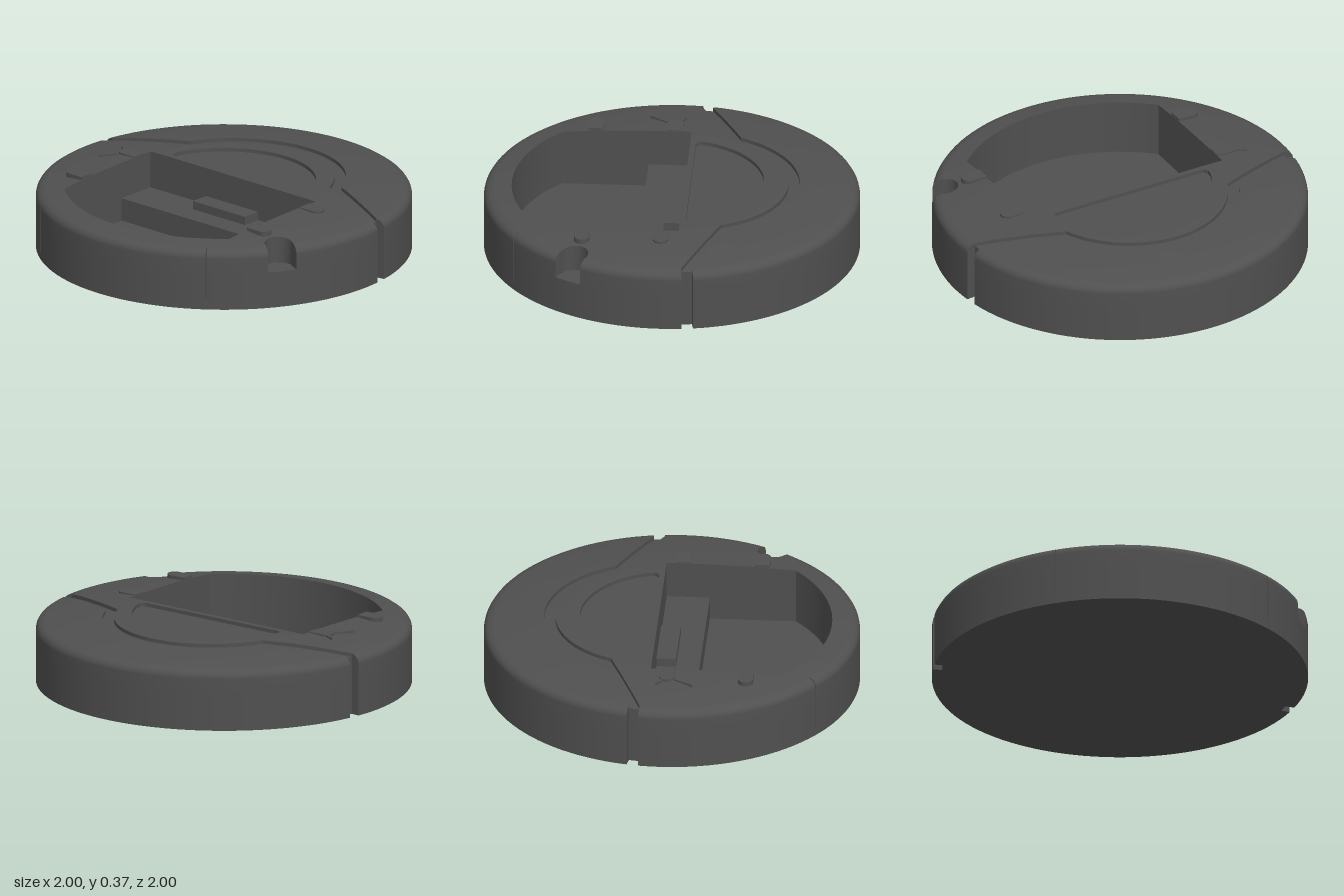
import * as THREE from 'three';
import { mergeGeometries, mergeVertices, toCreasedNormals } from 'three/addons/utils/BufferGeometryUtils.js';

const MAX = 0.06, R = 0.95, FLOOR = 0.04, SHALLOW = 0.02, PI = Math.PI;
const DOME = [[0, 0.37], [0.55, 0.37], [0.7, 0.362], [0.85, 0.347], [R, 0.333]];
const RIM = [[1, 0.285], [0.997, 0.301], [0.988, 0.316], [0.972, 0.327], [R, 0.333]];

// Height of the gently domed top, or of the rounded rim
function height(x, z) {
  const r = Math.min(Math.hypot(x, z), 1);
  const table = r <= R ? DOME : [...RIM].reverse();
  for (let i = 1; i < table.length; i++) {
    const [r0, y0] = table[i - 1], [r1, y1] = table[i];
    if (r <= r1) return y0 + (y1 - y0) * (r - r0) / (r1 - r0);
  }
  return table[table.length - 1][1];
}
const sunk = (x, z) => height(x, z) - SHALLOW;
const flat = y => () => y;

// Plan points are [x, z]; angle 0 points to +z and PI/2 to +x
const polar = (r, a, cx = 0, cz = 0) => [cx + r * Math.sin(a), cz + r * Math.cos(a)];
function arc(r, a, b, cx = 0, cz = 0) {
  const n = Math.max(1, Math.ceil(Math.abs(b - a) * Math.max(r, 0.2) / 0.04));
  return Array.from({ length: n + 1 }, (_, i) => polar(r, a + (b - a) * i / n, cx, cz));
}

// Halve long edges so that caps and walls share their points
function densify(pts, closed = true) {
  const out = [];
  const add = (p, q) => {
    if (Math.hypot(p[0] - q[0], p[1] - q[1]) > MAX) {
      const m = [(p[0] + q[0]) / 2, (p[1] + q[1]) / 2];
      add(p, m);
      add(m, q);
    } else out.push(p);
  };
  for (let i = 0; i < pts.length - (closed ? 0 : 1); i++) add(pts[i], pts[(i + 1) % pts.length]);
  if (!closed) out.push(pts[pts.length - 1]);
  return out;
}

function fromPositions(pos) {
  const g = new THREE.BufferGeometry();
  g.setAttribute('position', new THREE.Float32BufferAttribute(pos, 3));
  return g;
}

// Upward surface filling an outline and following the height rule y
function cap(outline, y, holes = []) {
  const toShape = pts => new THREE.Shape(densify(pts).map(p => new THREE.Vector2(...p)));
  const shape = toShape(outline);
  shape.holes = holes.map(toShape);
  const src = new THREE.ShapeGeometry(shape), P = src.attributes.position, pos = [];
  const split = (a, b, c) => {
    const len = (p, q) => Math.hypot(p[0] - q[0], p[1] - q[1]);
    const ab = len(a, b), bc = len(b, c), ca = len(c, a), m = Math.max(ab, bc, ca);
    if (m <= MAX + 1e-6) {
      for (const [x, z] of [a, c, b]) pos.push(x, y(x, z), z);
    } else if (ab < m) split(b, c, a);
    else {
      const h = [(a[0] + b[0]) / 2, (a[1] + b[1]) / 2];
      split(a, h, c);
      split(h, b, c);
    }
  };
  const at = i => [P.getX(i), P.getY(i)];
  for (let i = 0; i < src.index.count; i += 3) {
    split(...[0, 1, 2].map(k => at(src.index.getX(i + k))));
  }
  const g = mergeVertices(fromPositions(pos), 1e-5);
  g.computeVertexNormals();
  return g.toNonIndexed();
}

// Vertical wall along a path between two height rules
function wall(path, lo, hi, closed = true) {
  const pts = densify(path, closed), pos = [];
  if (closed) pts.push(pts[0]);
  for (let i = 1; i < pts.length; i++) {
    const [a, b] = [pts[i - 1], pts[i]];
    const v = (p, f) => [p[0], f(...p), p[1]];
    pos.push(...v(a, lo), ...v(b, lo), ...v(b, hi), ...v(a, lo), ...v(b, hi), ...v(a, hi));
  }
  return toCreasedNormals(fromPositions(pos), 0.5);
}

// Flat-topped prism from a plan outline
function slab(pts, top, depth) {
  const g = new THREE.ExtrudeGeometry(new THREE.Shape(pts.map(p => new THREE.Vector2(...p))),
    { depth, bevelEnabled: false });
  return g.rotateX(PI / 2).translate(0, top, 0);
}

export function createModel() {
  const group = new THREE.Group();
  const material = new THREE.MeshStandardMaterial({ color: 0x505050, side: THREE.DoubleSide });
  const add = (name, ...geos) => {
    const plain = geos.map(g => {
      const n = g.index ? g.toNonIndexed() : g;
      n.deleteAttribute('uv');
      return n;
    });
    const mesh = new THREE.Mesh(mergeGeometries(plain), material);
    mesh.name = name;
    group.add(mesh);
  };

  // Plan outlines
  const g0 = 0.11, g1 = 0.172, s = -0.53, sw = 0.079;
  const inner = [polar(R, g0), ...arc(0.53, 0.387, PI - 0.387, 0.09), polar(R, PI - g0)];
  const outer = [polar(R, g1), ...arc(0.59, 0.43, PI - 0.43, 0.09), polar(R, PI - g1)];
  const slotHead = [polar(R, s - sw), ...arc(0.075, s - PI / 2, s - 1.5 * PI, ...polar(0.935, s)), polar(R, s + sw)];
  const pocketEnd = Math.atan2(0.62, 0.585);
  const pocket = [[0.07, -0.585], [0.07, 0.585], ...arc(0.852, -pocketEnd, pocketEnd - PI)];
  const dish = [[0.1, 0.43], [0.104, 0.455], [0.125, 0.468], ...arc(0.49, 0.333, PI - 0.333),
    [0.125, -0.468], [0.104, -0.455], [0.1, -0.43]];

  // Top surfaces either side of the groove
  const mainOutline = [...inner, ...arc(R, PI - g0, 2 * PI + s - sw).slice(1), ...slotHead.slice(1, -1),
    ...arc(R, s + sw, g0).slice(0, -1)];
  add('mainTop', cap(mainOutline, height, [pocket, dish]));
  add('sideTop', cap([...outer, ...arc(R, PI - g1, g1).slice(1, -1)], height));

  // Shallow groove, dish and deep pocket
  add('groove', cap([...inner, ...[...outer].reverse()], sunk),
    wall(inner, sunk, height, false), wall(outer, sunk, height, false));
  add('dish', cap(dish, sunk), wall(dish, sunk, height));
  add('pocket', cap(pocket, flat(FLOOR)), wall(pocket, flat(FLOOR), height));
  add('pocketLedge', new THREE.BoxGeometry(0.23, 0.13, 1.17).translate(-0.045, 0.101, 0));
  add('ledgeBlock', new THREE.BoxGeometry(0.105, 0.05, 0.37).translate(0.0175, 0.187, -0.005));

  // Rim, interrupted by groove notches, the round slot and two narrow seams
  const seam = (a, y) => ({ a: a - 0.003, b: a + 0.003, y, hi: height });
  const gaps = [
    seam(-2.2, FLOOR), seam(-0.942, FLOOR),
    { a: s - sw, b: s + sw, y: 0.2, back: slotHead, hi: height },
    { a: g0, b: g1, y: 0, hi: sunk },
    { a: PI - g1, b: PI - g0, y: 0, hi: sunk },
  ];
  const bands = [[[R, 0], [1, 0]], [[1, 0], [1, FLOOR]], [[1, FLOOR], [1, 0.2]], [[1, 0.2], ...RIM]];
  const rim = [];
  for (const band of bands) {
    const open = gaps.filter(g => g.y <= band[0][1]);
    open.forEach((g, i) => {
      const end = i + 1 < open.length ? open[i + 1].a : open[0].a + 2 * PI;
      rim.push(new THREE.LatheGeometry(band.map(p => new THREE.Vector2(...p)),
        Math.max(2, Math.ceil((end - g.b) * 18)), g.b, end - g.b));
    });
  }
  add('rim', ...rim);

  // Inside faces of each rim gap
  const inside = [];
  for (const g of gaps) {
    const back = g.back || arc(R, g.a, g.b);
    inside.push(wall(back, flat(g.y), g.hi, false));
    if (g.y > 0) inside.push(cap([...back, ...arc(1, g.b, g.a)], flat(g.y)));
    for (const a of [g.a, g.b]) {
      const path = [R, 0.972, 0.988, 0.997, 1].map(r => polar(r, a));
      inside.push(wall(path, flat(g.y), height, false));
    }
  }
  add('rimGaps', ...inside);

  add('underside', new THREE.CircleGeometry(R, 112).rotateX(PI / 2));

  // Small rounded tabs beside the pocket
  for (const x of [-0.44, -0.02]) {
    for (const side of [1, -1]) {
      const end = arc(0.04, -PI / 2, PI / 2, x, 0.675);
      const pts = [[x - 0.04, 0.587], ...end, [x + 0.04, 0.587]].map(([px, pz]) => [px, pz * side]);
      add('tab', slab(pts, 0.373, 0.04));
    }
  }

  // Thin slivers spreading from the back tab
  add('tabSlivers',
    slab([[-0.16, -0.757], [-0.06, -0.7], [-0.065, -0.69]], 0.37, 0.03),
    slab([[0.035, -0.757], [0.01, -0.69], [-0.01, -0.705]], 0.37, 0.03));
  return group;
}
